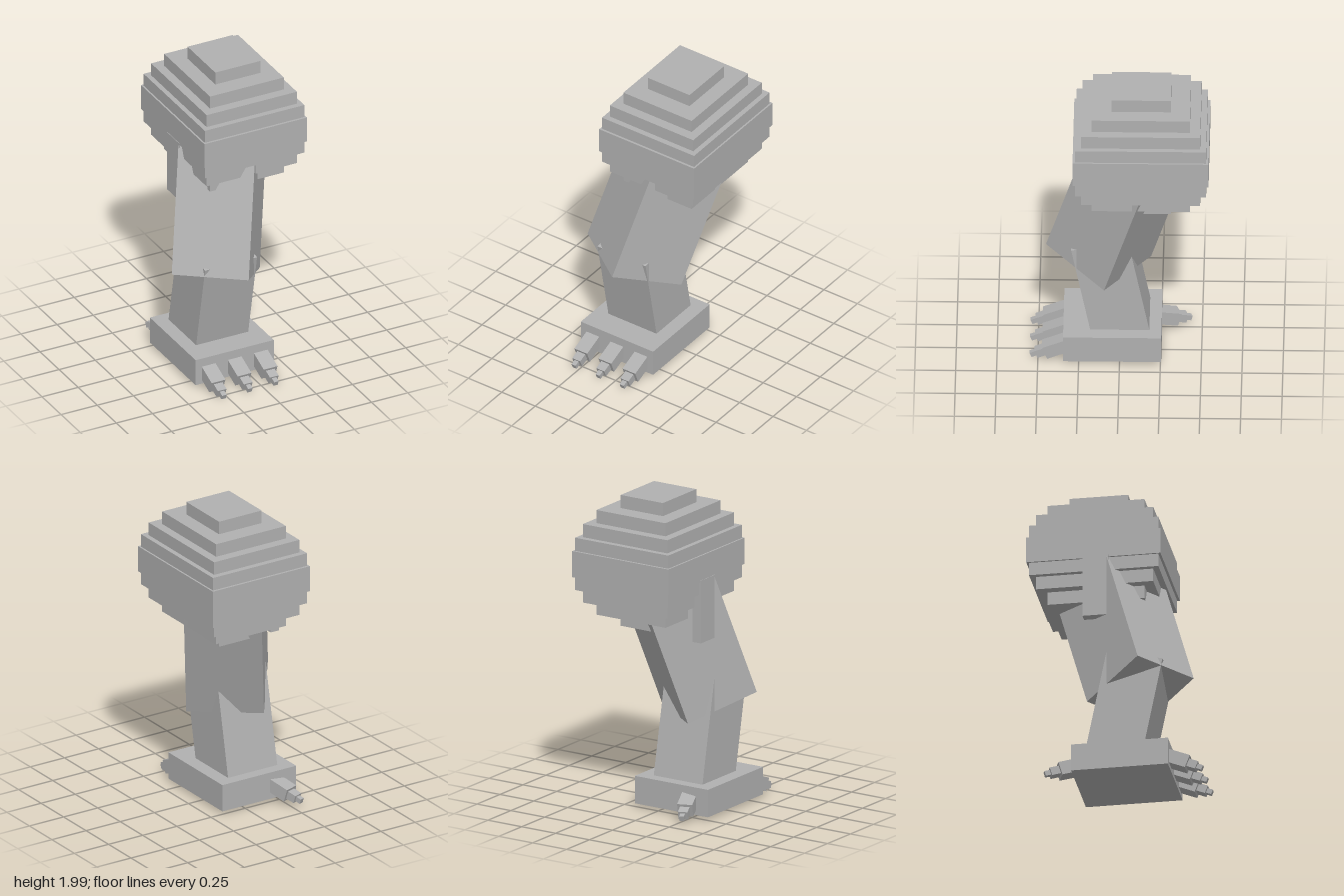
import * as THREE from 'three';

export function createModel() {
  const model = new THREE.Group();
  const grey = new THREE.MeshStandardMaterial({ color: 0xb0b0b0 });

  const addBox = (parent, name, size, position) => {
    const mesh = new THREE.Mesh(new THREE.BoxGeometry(...size), grey);
    mesh.name = name;
    mesh.position.set(...position);
    parent.add(mesh);
    return mesh;
  };

  // Foot slab
  addBox(model, 'foot', [0.54, 0.175, 0.6], [-0.1, 0.1175, 0.045]);

  // Toes: three shrinking segments along local +z, pitched downwards
  const addToe = (name, position, pitch, yaw) => {
    const toe = new THREE.Group();
    toe.name = name;
    toe.position.set(...position);
    toe.rotation.set(pitch, yaw, 0, 'YXZ');
    const segments = [
      [0.095, 0.085, -0.06, 0.12],
      [0.06, 0.052, 0.12, 0.178],
      [0.03, 0.032, 0.178, 0.213],
    ];
    segments.forEach(([w, h, from, to], i) =>
      addBox(toe, `toeSegment${i + 1}`, [w, h, to - from], [0, 0, (from + to) / 2]));
    model.add(toe);
  };
  for (const x of [-0.28, -0.1, 0.08]) addToe('frontToe', [x, 0.102, 0.347], 0.38, 0);
  addToe('backToe', [-0.225, 0.115, -0.24], 0.3, Math.PI + 0.35);

  // Lower leg, leaning forwards
  const lean = 0.2;
  const shin = addBox(model, 'lowerLeg', [0.36, 0.72, 0.355], [-0.1, 0.467, 0.052]);
  shin.rotation.x = Math.atan(lean);

  // Upper leg: square block, turned and tilted, running up into the head
  const xAxis = new THREE.Vector3(0.383, 0, 0.283).normalize();
  const zAxis = new THREE.Vector3(-0.265, 0.16, 0.358).normalize();
  const yAxis = new THREE.Vector3().crossVectors(zAxis, xAxis).normalize();
  const length = 0.95;
  const thigh = addBox(model, 'upperLeg', [0.476, length, 0.474], [-0.119, 0.658, 0.132]);
  thigh.quaternion.setFromRotationMatrix(new THREE.Matrix4().makeBasis(xAxis, yAxis, zAxis));
  thigh.position.addScaledVector(yAxis, length / 2);

  // Upright bar behind the upper leg
  addBox(model, 'sideBar', [0.06, 0.4, 0.16], [-0.25, 1.31, -0.12]);

  // Stepped rounded head: mirrored layers above and below a thick middle one
  const head = new THREE.Group();
  head.name = 'head';
  head.position.set(0.078, 1.583, -0.133);
  const step = 0.0834;
  addBox(head, 'middleLayer', [0.71, step * 2, 0.832], [0, 0, 0]);
  [[0.688, 0.802], [0.624, 0.728], [0.51, 0.6], [0.312, 0.364]].forEach(([w, d], i) => {
    for (const side of [1, -1]) {
      addBox(head, side > 0 ? 'upperLayer' : 'lowerLayer', [w, step, d], [0, side * step * (i + 1.5), 0]);
    }
  });
  model.add(head);

  return model;
}
